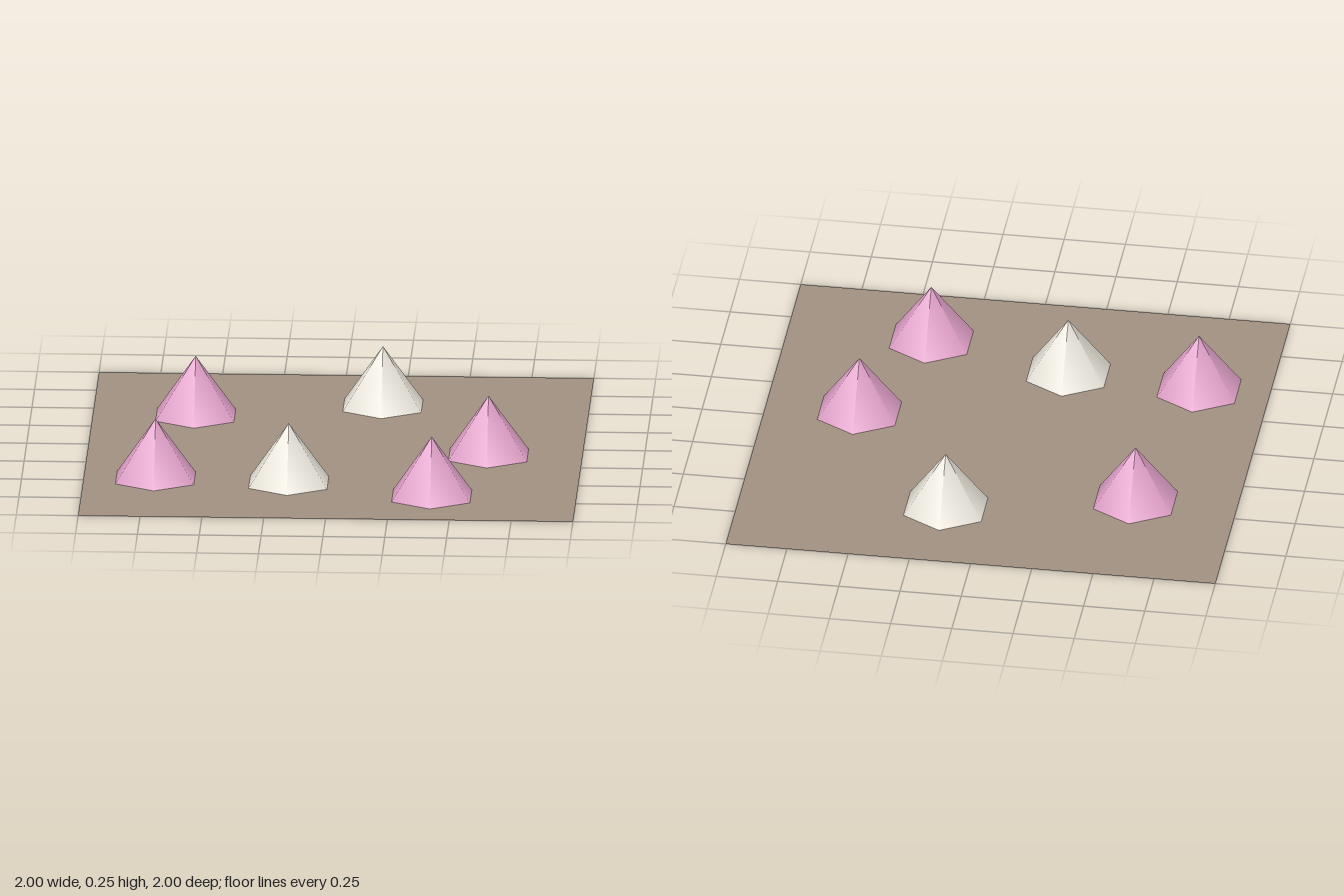
import * as THREE from 'three';

export function createModel() {
  const model = new THREE.Group();
  const pink = new THREE.MeshStandardMaterial({ color: 0xe0a0c8 });
  const cream = new THREE.MeshStandardMaterial({ color: 0xe8e4da });
  const earth = new THREE.MeshStandardMaterial({ color: 0xa09080, side: THREE.DoubleSide });

  // Flat square of ground
  const ground = new THREE.Mesh(new THREE.PlaneGeometry(2, 2).rotateX(-Math.PI / 2), earth);
  ground.name = 'ground';
  model.add(ground);

  // Six-sided tents with smooth shading, open underneath where they meet the ground
  const radius = 0.183, height = 0.25;
  const tentGeometry = new THREE.ConeGeometry(radius, height, 6, 1, true).translate(0, height / 2, 0);
  const tents = [
    [-0.585, -0.42, pink],
    [0.165, -0.585, cream],
    [0.62, 0.085, pink],
    [-0.71, 0.46, pink],
    [-0.17, 0.5, cream],
    [0.415, 0.665, pink],
  ];
  tents.forEach(([x, z, material], i) => {
    const tent = new THREE.Mesh(tentGeometry, material);
    tent.name = `tent${i + 1}`;
    tent.position.set(x, 0, z);
    model.add(tent);
  });

  return model;
}
